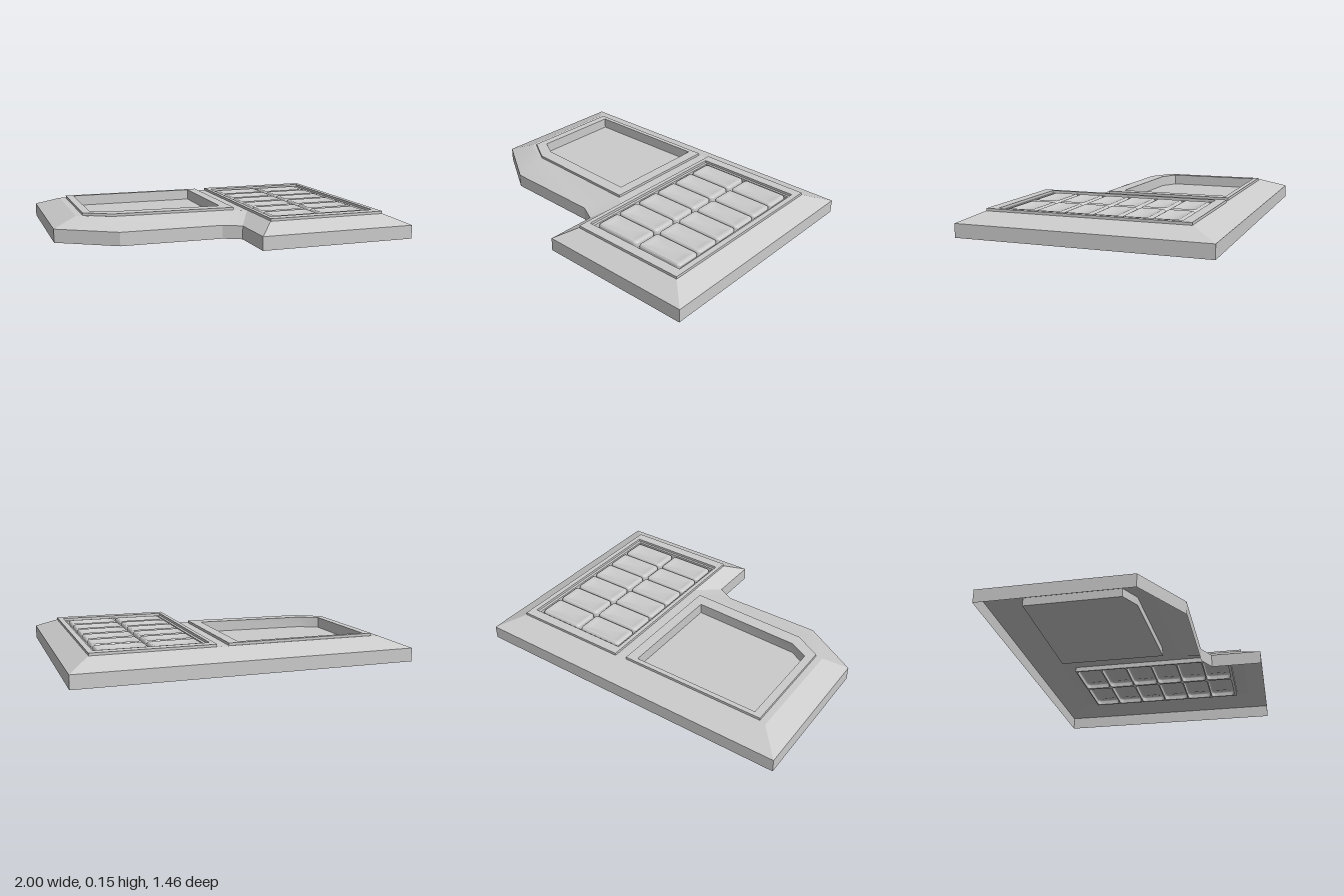
import * as THREE from 'three';
import { toCreasedNormals } from 'three/addons/utils/BufferGeometryUtils.js';

const material = new THREE.MeshStandardMaterial({ color: 0xcccccc, side: THREE.DoubleSide });

function addMesh(group, geometry, name) {
  const mesh = new THREE.Mesh(geometry, material);
  mesh.name = name;
  group.add(mesh);
  return mesh;
}

// Skin between loops of [x, y, z] points that share one point count
function loft(rings, crease = 0.5) {
  const n = rings[0].length;
  const index = [];
  for (let r = 0; r < rings.length - 1; r++) {
    for (let i = 0; i < n; i++) {
      const a = r * n + i, b = r * n + (i + 1) % n;
      index.push(a, a + n, b + n, a, b + n, b);
    }
  }
  const geometry = new THREE.BufferGeometry();
  geometry.setAttribute('position', new THREE.Float32BufferAttribute(rings.flat(2), 3));
  geometry.setIndex(index);
  return toCreasedNormals(geometry, crease);
}

const at = (outline, y) => outline.map(([x, z]) => [x, y, z]);
const rect = (x0, x1, z0, z1) => [[x0, z0], [x1, z0], [x1, z1], [x0, z1]];

// Flat horizontal sheet with openings
function sheet(outline, holes, y) {
  const toVec = (pts) => pts.map(([x, z]) => new THREE.Vector2(x, -z));
  const shape = new THREE.Shape(toVec(outline));
  holes.forEach((h) => shape.holes.push(new THREE.Path(toVec(h))));
  return new THREE.ShapeGeometry(shape).rotateX(-Math.PI / 2).translate(0, y, 0);
}

// Rounded rectangle about the origin, with subdivided sides
function roundedRect(hw, hd, radius) {
  const pts = [];
  const corners = [[-1, -1], [1, -1], [1, 1], [-1, 1]];
  corners.forEach(([sx, sz], c) => {
    for (let k = 0; k <= 4; k++) {
      const a = Math.PI + (c + k / 4) * Math.PI / 2;
      pts.push([sx * (hw - radius) + radius * Math.cos(a), sz * (hd - radius) + radius * Math.sin(a)]);
    }
    const p = pts[pts.length - 1];
    const [nx, nz] = corners[(c + 1) % 4];
    const q = c % 2 === 0 ? [nx * (hw - radius), p[1]] : [p[0], nz * (hd - radius)];
    for (let k = 1; k < 6; k++) {
      pts.push([p[0] + (q[0] - p[0]) * k / 6, p[1] + (q[1] - p[1]) * k / 6]);
    }
  });
  return pts;
}

// Key cap: open below, soft edges, top scooped from front to back
function keyGeometry(hw, hd, base, top) {
  const soft = 0.014, dip = 0.012;
  const rings = [at(roundedRect(hw, hd, 0.022), base)];
  for (let k = 0; k <= 4; k++) {
    const a = k / 4 * Math.PI / 2;
    const inset = soft * (1 - Math.cos(a));
    const y = top - soft * (1 - Math.sin(a));
    rings.push(at(roundedRect(hw - inset, hd - inset, 0.022 - inset), y));
  }
  const rim = rings[rings.length - 1];
  const iz = hd - soft;
  for (const s of [0.85, 0.65, 0.45, 0.25, 0]) {
    rings.push(rim.map(([x, , z]) => [x * s, top - dip * (1 - s * s * Math.min(1, Math.max((z / iz) ** 2, (x / hw) ** 4))), z * s]));
  }
  return loft(rings, 0.8);
}

export function createModel() {
  const model = new THREE.Group();
  model.name = 'controlPanel';

  // Housing: straight skirt, sloped shoulder, flat deck, open underneath
  const foot = [[-1, -0.73], [1, -0.73], [1, 0.73], [0.055, 0.73],
    [0.055, 0.425], [-0.05, 0.37], [-0.66, 0.365], [-1, 0.155]];
  const deck = [[-0.86, -0.58], [0.875, -0.58], [0.875, 0.608], [0.15, 0.608],
    [0.15, 0.25], [0.08, 0.21], [-0.67, 0.18], [-0.86, 0.085]];
  addMesh(model, loft([at(foot, 0), at(foot, 0.08), at(deck, 0.135)], 0.3), 'housing');

  // Screen: raised frame around a recessed floor
  const frame = [[-0.82, -0.567], [0.082, -0.567], [0.082, 0.202], [-0.66, 0.173], [-0.82, 0.08]];
  const well = [[-0.772, -0.538], [0.018, -0.538], [0.018, 0.12], [-0.66, 0.092], [-0.772, 0.03]];
  const screen = new THREE.Group();
  screen.name = 'screen';
  model.add(screen);
  addMesh(screen, loft([at(frame, 0.135), at(frame, 0.15), at(well, 0.15), at(well, 0.085)]), 'screenFrame');
  addMesh(screen, sheet(well, [], 0.085), 'screenFloor');

  // Keypad: raised frame stepping down to the key plate
  const keypad = new THREE.Group();
  keypad.name = 'keypad';
  model.add(keypad);
  const border = rect(0.155, 0.872, -0.575, 0.605);
  const lip = rect(0.18, 0.84, -0.515, 0.543);
  const ledge = rect(0.197, 0.822, -0.5, 0.528);
  addMesh(keypad, loft([at(border, 0.135), at(border, 0.15), at(lip, 0.15),
    at(lip, 0.135), at(ledge, 0.135), at(ledge, 0.105)]), 'keypadFrame');

  // Keys in two columns of six
  const hw = 0.147, hd = 0.08;
  const key = keyGeometry(hw, hd, 0.105, 0.143);
  const holes = [];
  for (let row = 0; row < 6; row++) {
    for (const x of [0.354, 0.664]) {
      const z = -0.413 + row * 0.1685;
      addMesh(keypad, key, 'key').position.set(x, 0, z);
      holes.push(roundedRect(hw, hd, 0.022).map(([px, pz]) => [px + x, pz + z]));
    }
  }
  addMesh(keypad, sheet(ledge, holes, 0.105), 'keyPlate');

  addMesh(model, sheet(deck, [well, lip], 0.135), 'deck');
  return model;
}
